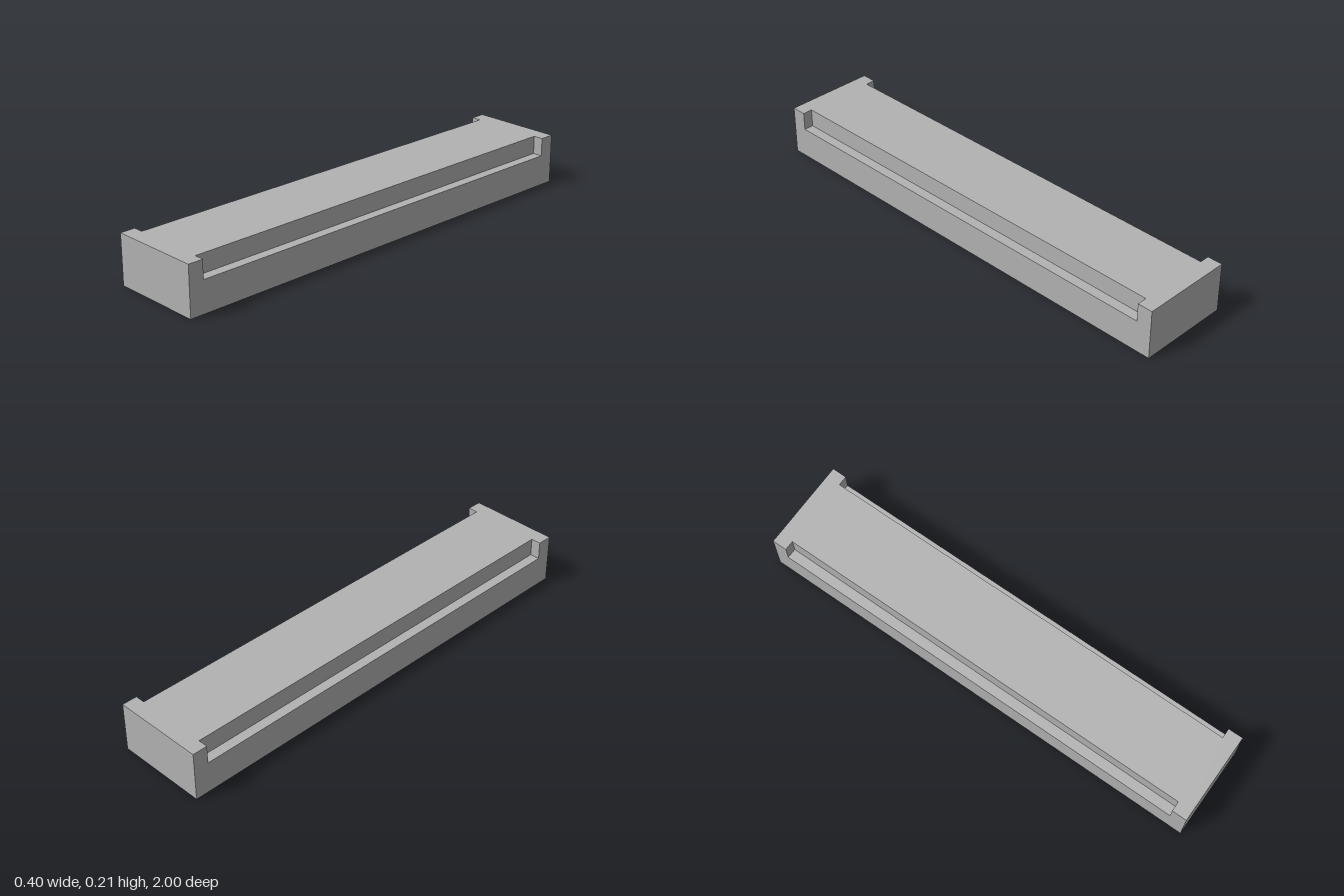
import * as THREE from 'three';
import { mergeGeometries } from 'three/addons/utils/BufferGeometryUtils.js';

const W = 0.2, H = 0.214, L = 1;             // half width, height, half length
const D = 0.043, LEDGE = 0.135, N = 0.935;   // notch depth, ledge height, notch half length

const outline = (points) =>
  new THREE.ShapeGeometry(new THREE.Shape(points.map(([x, y]) => new THREE.Vector2(x, y))));

export function createModel() {
  const group = new THREE.Group();
  const grey = new THREE.MeshStandardMaterial({ color: 0xb2b2b2 });
  grey.name = 'grey';

  const faces = [];
  const place = (geo, rx, ry, x, y, z) =>
    faces.push(geo.rotateX(rx).rotateY(ry).translate(x, y, z));
  const plane = (w, h) => new THREE.PlaneGeometry(w, h);
  const Q = Math.PI / 2;

  // Underside and I-shaped top
  place(plane(2 * W, 2 * L), Q, 0, 0, 0, 0);
  const I = W - D;
  place(outline([
    [-W, -L], [W, -L], [W, -N], [I, -N], [I, N], [W, N],
    [W, L], [-W, L], [-W, N], [-I, N], [-I, -N], [-W, -N],
  ]), -Q, 0, 0, H, 0);

  for (const s of [1, -1]) {
    // End wall
    place(plane(2 * W, H), 0, s > 0 ? 0 : Math.PI, 0, H / 2, s * L);
    // Long side wall, cut away above the ledge
    place(outline([
      [-L, 0], [L, 0], [L, H], [N, H], [N, LEDGE], [-N, LEDGE], [-N, H], [-L, H],
    ]), 0, s * Q, s * W, 0, 0);
    // Notch: ledge, inner wall and both ends
    const h = H - LEDGE, midX = s * (W - D / 2), midY = LEDGE + h / 2;
    place(plane(D, 2 * N), -Q, 0, midX, LEDGE, 0);
    place(plane(2 * N, h), 0, s * Q, s * I, midY, 0);
    for (const t of [1, -1]) place(plane(D, h), 0, t > 0 ? Math.PI : 0, midX, midY, t * N);
  }

  const body = new THREE.Mesh(mergeGeometries(faces), grey);
  body.name = 'notchedBlock';
  group.add(body);
  return group;
}
